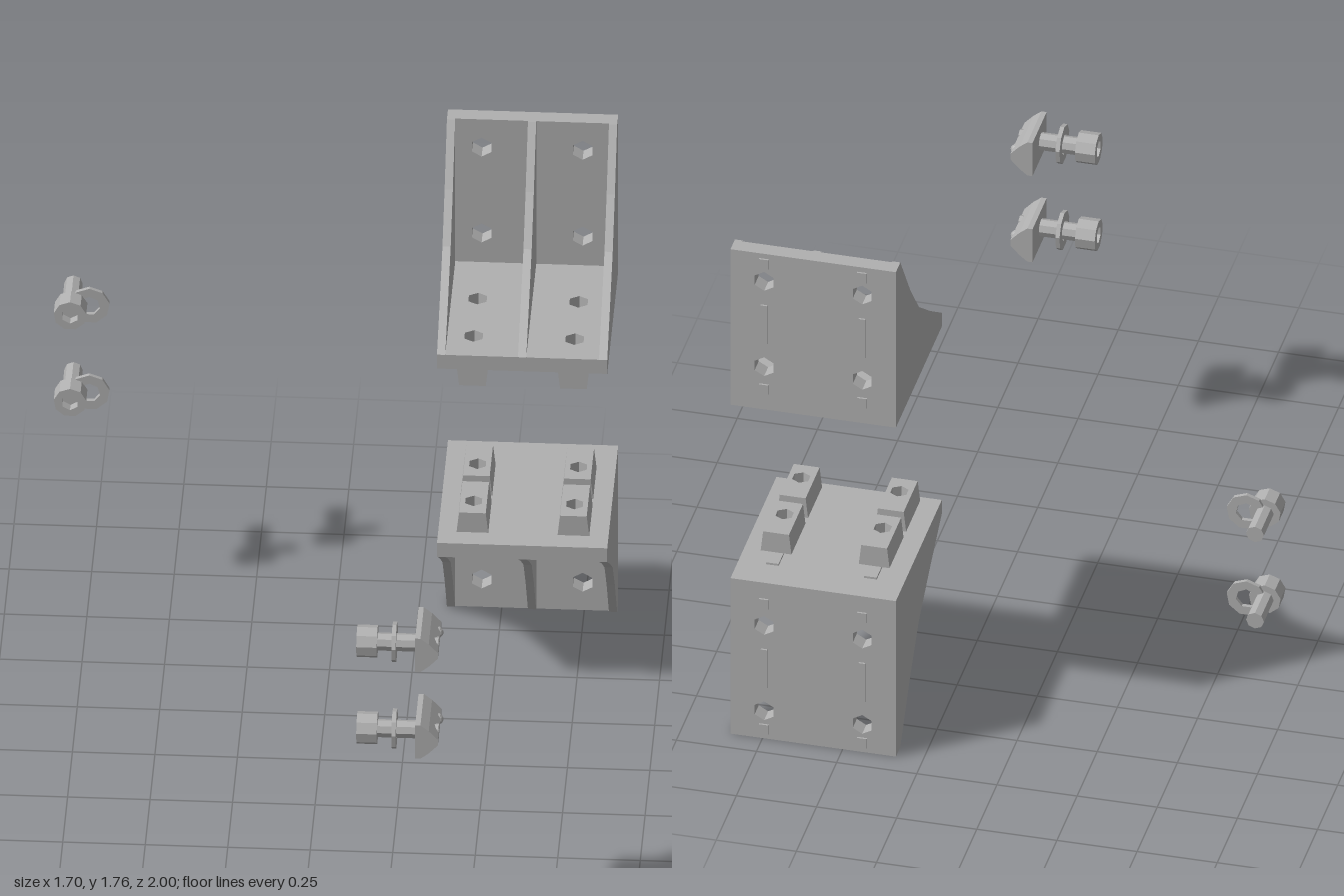
import * as THREE from 'three';

const grey = new THREE.MeshStandardMaterial({ color: 0xb0b0b0, flatShading: true });
grey.name = 'metal grey';

function add(parent, name, geometry, x = 0, y = 0, z = 0) {
  const mesh = new THREE.Mesh(geometry, grey);
  mesh.name = name;
  mesh.position.set(x, y, z);
  parent.add(mesh);
  return mesh;
}

function ngon(cx, cy, r, sides) {
  return Array.from({ length: sides }, (_, i) => {
    const a = (i / sides) * Math.PI * 2 + Math.PI / 2;
    return new THREE.Vector2(cx + r * Math.cos(a), cy + r * Math.sin(a));
  });
}

const rect = (x0, y0, x1, y1) => [[x0, y0], [x1, y0], [x1, y1], [x0, y1]].map(p => new THREE.Vector2(...p));

// Flat prism with holes, running along +z
function prism(outline, holes, depth) {
  const shape = new THREE.Shape(outline);
  holes.forEach(h => shape.holes.push(new THREE.Path(h)));
  return new THREE.ExtrudeGeometry(shape, { depth, bevelEnabled: false });
}

const HALF = 0.258, COLUMNS = [-0.153, 0.153], BACK = -0.925;

// Slot nut, wider towards the plate, with an off-centre hole
function slotNut() {
  const geo = prism(rect(-0.048, -0.087, 0.048, 0.087), [ngon(0, -0.02, 0.029, 6)], 0.07);
  geo.rotateX(-Math.PI / 2);
  const p = geo.attributes.position;
  for (let i = 0; i < p.count; i++) {
    if (p.getY(i) < 0.01 && Math.abs(p.getX(i)) > 0.04) p.setX(i, p.getX(i) * 0.84);
  }
  geo.computeVertexNormals();
  return geo;
}

// Corner bracket standing on y = 0, with four slot nuts below it
function bracket(name) {
  const g = new THREE.Group();
  g.name = name;
  const backHoles = COLUMNS.flatMap(x => [0.155, 0.465].map(y => ngon(x, y, 0.034, 6)));
  add(g, 'backPlate', prism(rect(-HALF, 0, HALF, 0.565), backHoles, 0.05), 0, 0, BACK);

  const baseHoles = COLUMNS.flatMap(x => [0.465, 0.672].map(z => ngon(x, z, 0.032, 6)));
  const base = prism(rect(-HALF, 0.355, HALF, 0.876), baseHoles, 0.05);
  base.rotateX(-Math.PI / 2);
  add(g, 'basePlate', base);

  // Curved gussets: two outer sides and a middle web
  const side = [[0.355, 0], [0.355, 0.05], [0.5, 0.15], [0.64, 0.255], [0.75, 0.39],
    [0.87, 0.565], [0.925, 0.565], [0.925, 0]].map(p => new THREE.Vector2(...p));
  for (const x of [-HALF, -0.0125, HALF - 0.025]) {
    const rib = prism(side, [], 0.025);
    rib.rotateY(Math.PI / 2);
    add(g, x === -0.0125 ? 'middleWeb' : 'sideGusset', rib, x);
  }

  for (const x of COLUMNS) {
    for (const z of [-0.484, -0.69]) add(g, 'slotNut', slotNut(), x, -0.085, z);
    // Low locating ridges on both mounting faces
    for (const z of [-0.568, -0.79]) {
      add(g, 'baseRidge', new THREE.BoxGeometry(0.04, 0.007, 0.07), x, -0.0035, z);
    }
    add(g, 'backRidge', new THREE.BoxGeometry(0.02, 0.14, 0.006), x, 0.31, BACK - 0.003);
    for (const y of [0.075, 0.53]) {
      add(g, 'backRidge', new THREE.BoxGeometry(0.03, 0.035, 0.006), x, y, BACK - 0.003);
    }
  }
  return g;
}

// Socket-head bolt: head front at z = 0, shaft running along -z
function bolt(shaftEnd) {
  const g = new THREE.Group();
  g.name = 'bolt';
  add(g, 'headRim', prism(ngon(0, 0, 0.05, 9), [ngon(0, 0, 0.027, 6)], 0.03), 0, 0, -0.03);
  const headCore = prism(ngon(0, 0, 0.05, 9), [], 0.032);
  add(g, 'headCore', headCore, 0, 0, -0.062);
  const length = shaftEnd - 0.06;
  add(g, 'shaft', prism(ngon(0, 0, 0.028, 8), [], length), 0, 0, -shaftEnd);
  return g;
}

const washer = () => prism(ngon(0, 0, 0.062, 9), [ngon(0, 0, 0.033, 7)], 0.013);

// Bolt with a washer hanging off to one side
function looseBolt(y) {
  const g = new THREE.Group();
  g.name = 'looseBolt';
  g.add(bolt(0.183));
  add(g, 'washer', washer(), 0.055, 0, -0.072);
  g.position.set(-0.805, y, -0.817);
  return g;
}

// Bolt, washer and roll-in nut in line along x
function boltWithNut(y) {
  const g = new THREE.Group();
  g.name = 'boltWithNut';
  const b = bolt(0.2);
  add(b, 'washer', washer(), 0, 0, -0.12);
  b.rotation.y = -Math.PI / 2;
  b.position.set(0.167, 0, 0.927);
  g.add(b);
  const half = [[0.347, 0.06], [0.363, 0.06], [0.388, 0.04], [0.416, 0.01]];
  const outline = [...half, ...half.map(([x, h]) => [x, -h]).reverse()].map(p => new THREE.Vector2(...p));
  add(g, 'rollInNut', prism(outline, [], 0.175), 0, 0, 0.822);
  // Threaded end and spring ball on the nut's nose
  const boss = new THREE.CylinderGeometry(0.025, 0.025, 0.02, 8);
  boss.rotateZ(Math.PI / 2);
  add(g, 'threadEnd', boss, 0.405, 0, 0.935);
  add(g, 'springBall', new THREE.SphereGeometry(0.018, 8, 6), 0.408, 0, 0.865);
  g.position.y = y;
  return g;
}

export function createModel() {
  const model = new THREE.Group();
  model.name = 'bracketKit';

  const upper = bracket('upperBracket');
  upper.position.set(0.592, 1.195, 0);
  const lower = bracket('lowerBracket');
  lower.rotation.z = Math.PI;
  lower.position.set(0.592, 0.565, 0);
  model.add(upper, lower);

  for (const y of [1.04, 0.727]) model.add(looseBolt(y), boltWithNut(y));
  return model;
}
